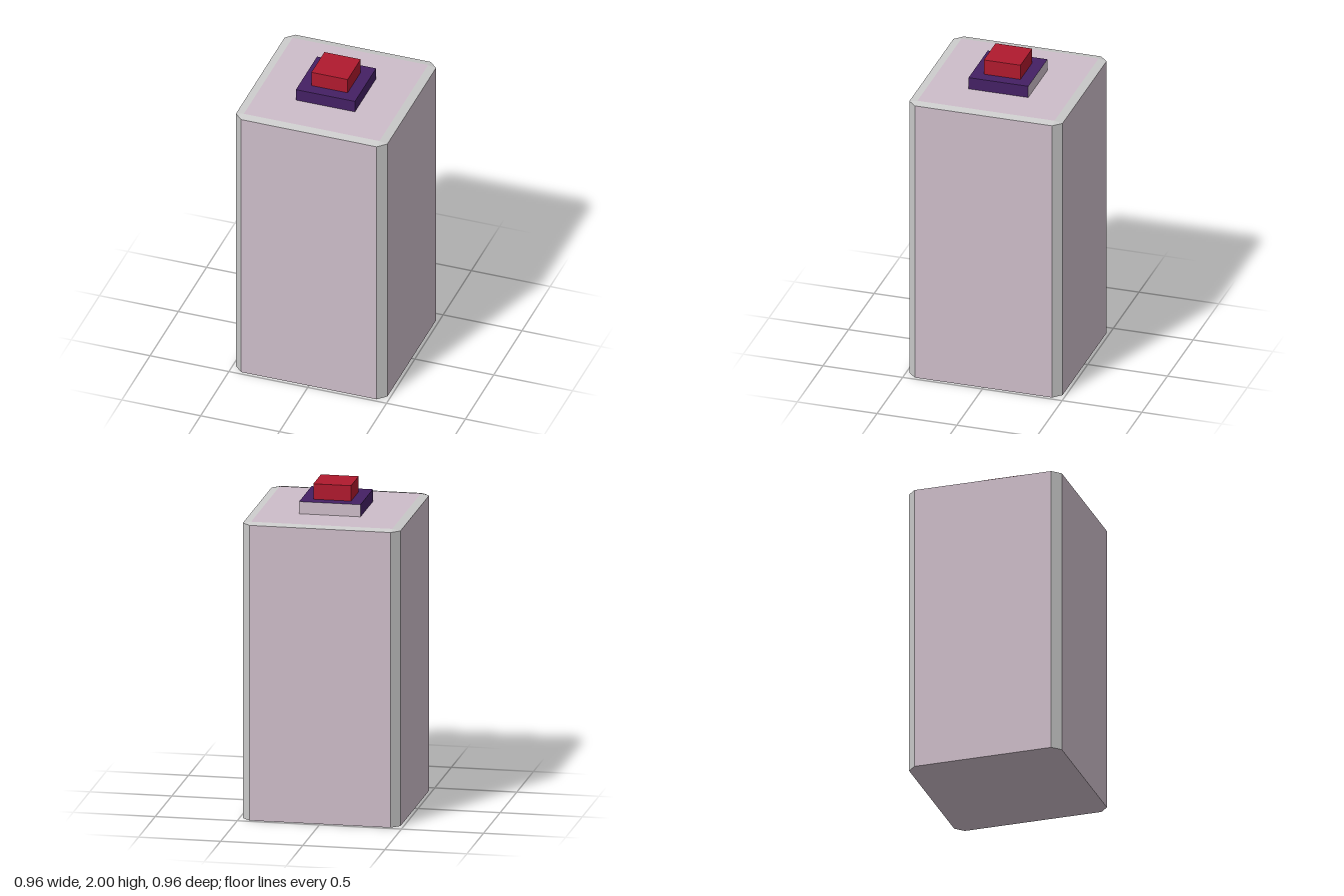
import * as THREE from 'three';

const paint = (color) => new THREE.MeshStandardMaterial({ color, flatShading: true });

// Flat quads (corners counter-clockwise from outside) as one mesh
function quadMesh(name, quads, material) {
  const pos = [];
  for (const [a, b, c, d] of quads) pos.push(...a, ...b, ...c, ...a, ...c, ...d);
  const geo = new THREE.BufferGeometry();
  geo.setAttribute('position', new THREE.Float32BufferAttribute(pos, 3));
  geo.computeVertexNormals();
  const mesh = new THREE.Mesh(geo, material);
  mesh.name = name;
  return mesh;
}

function block(name, width, y0, y1, material) {
  const mesh = new THREE.Mesh(new THREE.BoxGeometry(width, y1 - y0, width), material);
  mesh.position.y = (y0 + y1) / 2;
  mesh.name = name;
  return mesh;
}

export function createModel() {
  const model = new THREE.Group();
  const mauve = paint(0xcdbdc9), grey = paint(0xcccccc);
  const purple = paint(0x442064), red = paint(0xb01a2e);
  const outer = 0.48, inner = 0.43, shoulder = 1.82, top = 1.83;

  // Body outline: square with clipped corners, counter-clockwise from above
  const outline = [], square = [];
  for (let i = 0; i < 4; i++) {
    const c = Math.round(Math.cos(i * Math.PI / 2)), s = Math.round(Math.sin(i * Math.PI / 2));
    for (const t of [-inner, inner]) {
      outline.push([c * outer - s * t, -(s * outer + c * t)]);
      square.push([c * inner - s * t, -(s * inner + c * t)]);
    }
  }
  const at = (ring, i, y) => [ring[i % 8][0], y, ring[i % 8][1]];

  const panels = [], corners = [], bevels = [];
  for (let i = 0; i < 8; i++) {
    const wall = [at(outline, i, 0), at(outline, i + 1, 0), at(outline, i + 1, shoulder), at(outline, i, shoulder)];
    (i % 2 ? corners : panels).push(wall);
    bevels.push([at(outline, i, shoulder), at(outline, i + 1, shoulder), at(square, i + 1, top), at(square, i, top)]);
  }
  const lid = [0, 2, 4, 6].map((i) => at(square, i, top));
  // Octagonal underside as three quads
  const base = [[0, 7, 6, 5], [0, 5, 4, 1], [1, 4, 3, 2]].map((q) => q.map((i) => at(outline, i, 0)));

  const body = new THREE.Group();
  body.name = 'body';
  body.add(
    quadMesh('sidePanels', panels, mauve),
    quadMesh('cornerChamfers', corners, grey),
    quadMesh('topBevel', bevels, grey),
    quadMesh('topPanel', [lid], mauve),
    quadMesh('underside', base, mauve),
  );

  // Button on its plinth; the plinth's back face is left in the body colour
  model.add(
    body,
    block('buttonPlinth', 0.374, top, 1.905, [purple, purple, purple, purple, purple, mauve]),
    block('button', 0.23, 1.905, 2, red),
  );
  return model;
}
